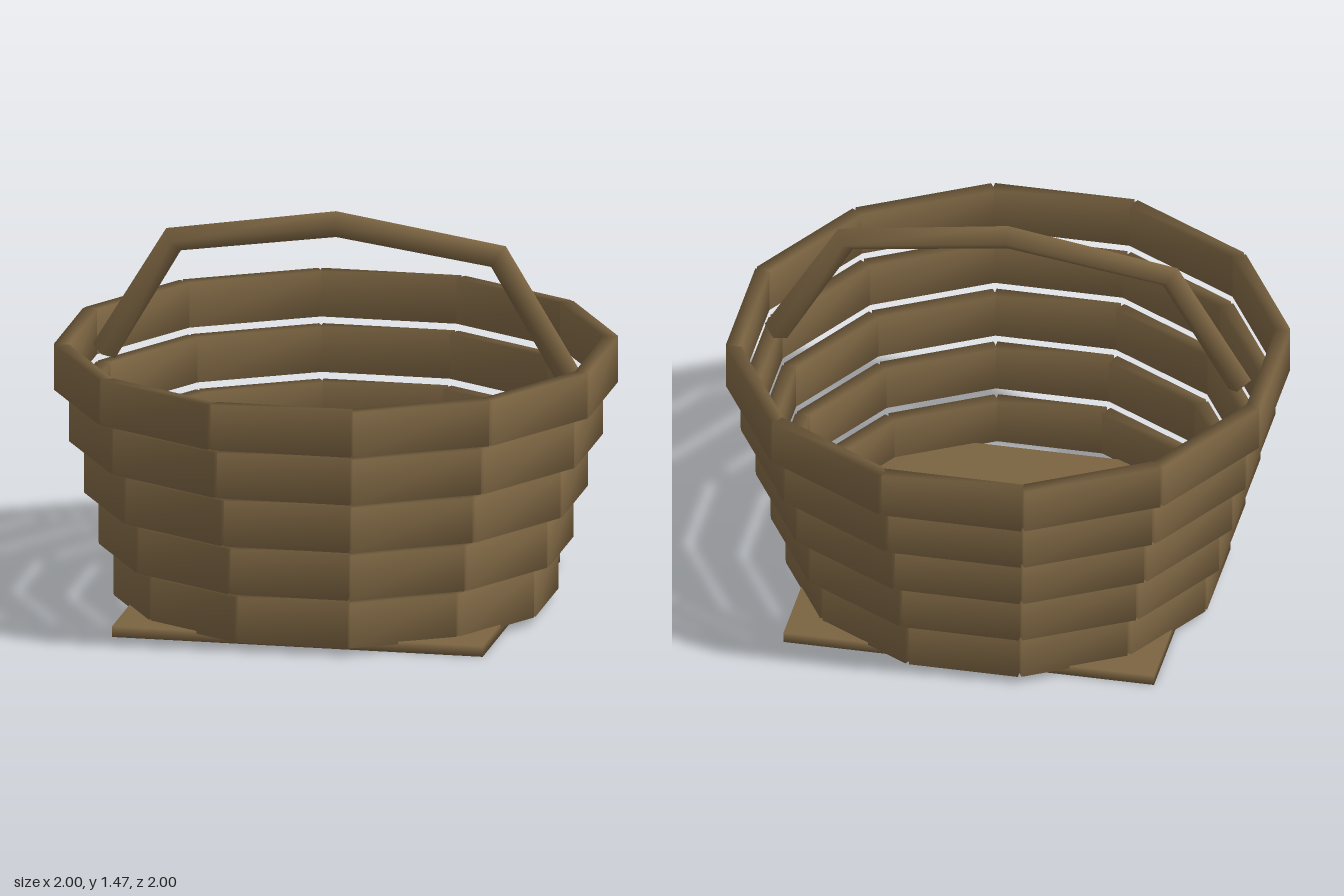
import * as THREE from 'three';
import { mergeVertices } from 'three/addons/utils/BufferGeometryUtils.js';

// Box with shared corners, so its shading is soft
function softBox(w, h, d) {
  const box = new THREE.BoxGeometry(w, h, d);
  box.deleteAttribute('normal');
  box.deleteAttribute('uv');
  const g = mergeVertices(box);
  g.computeVertexNormals();
  return g;
}

// Four-sided rod that bends along points in the XY plane
function bentRod(path, r) {
  const pos = [], idx = [], sides = 4;
  const z = new THREE.Vector3(0, 0, 1);
  path.forEach((p, i) => {
    const t = new THREE.Vector3();
    if (i > 0) t.add(p.clone().sub(path[i - 1]).normalize());
    if (i < path.length - 1) t.add(path[i + 1].clone().sub(p).normalize());
    const n = z.clone().cross(t.normalize());
    for (let j = 0; j < sides; j++) {
      const a = (j / sides) * Math.PI * 2;
      const v = p.clone().addScaledVector(n, r * Math.cos(a)).addScaledVector(z, r * Math.sin(a));
      pos.push(v.x, v.y, v.z);
    }
  });
  for (let i = 0; i < path.length - 1; i++) {
    for (let j = 0; j < sides; j++) {
      const a = i * sides + j, b = i * sides + (j + 1) % sides;
      idx.push(a, b, a + sides, b, b + sides, a + sides);
    }
  }
  const e = (path.length - 1) * sides;
  idx.push(0, 2, 1, 0, 3, 2, e, e + 1, e + 2, e, e + 2, e + 3);
  const g = new THREE.BufferGeometry();
  g.setAttribute('position', new THREE.Float32BufferAttribute(pos, 3));
  g.setIndex(idx);
  g.computeVertexNormals();
  return g;
}

export function createModel() {
  const model = new THREE.Group();
  model.name = 'basket';
  const wicker = new THREE.MeshStandardMaterial({ color: 0x7a6341 });
  wicker.name = 'wicker brown';

  // Square base board
  const base = new THREE.Mesh(softBox(1.385, 0.04, 1.385), wicker);
  base.name = 'baseBoard';
  base.position.y = 0.02;
  model.add(base);

  // Five widening rings of twelve slats
  const thickness = 0.054, height = 0.17, count = 12;
  for (let tier = 0; tier < 5; tier++) {
    const ring = new THREE.Group();
    ring.name = 'slatRing' + (tier + 1);
    ring.position.y = 0.115 + tier * 0.195;
    const mid = 0.788 + tier * 0.053 - thickness / 2;
    const geo = softBox(2 * mid * Math.tan(Math.PI / count), height, thickness);
    for (let i = 0; i < count; i++) {
      const a = (i / count) * Math.PI * 2;
      const slat = new THREE.Mesh(geo, wicker);
      slat.name = 'slat';
      slat.position.set(mid * Math.sin(a), 0, mid * Math.cos(a));
      slat.rotation.y = a;
      ring.add(slat);
    }
    model.add(ring);
  }

  // Angular carrying handle
  const path = [[-0.867, 0.893], [-0.607, 1.33], [0, 1.42], [0.607, 1.33], [0.867, 0.893]]
    .map(([x, y]) => new THREE.Vector3(x, y, 0));
  const handle = new THREE.Mesh(bentRod(path, 0.049), wicker);
  handle.name = 'handle';
  model.add(handle);

  return model;
}
